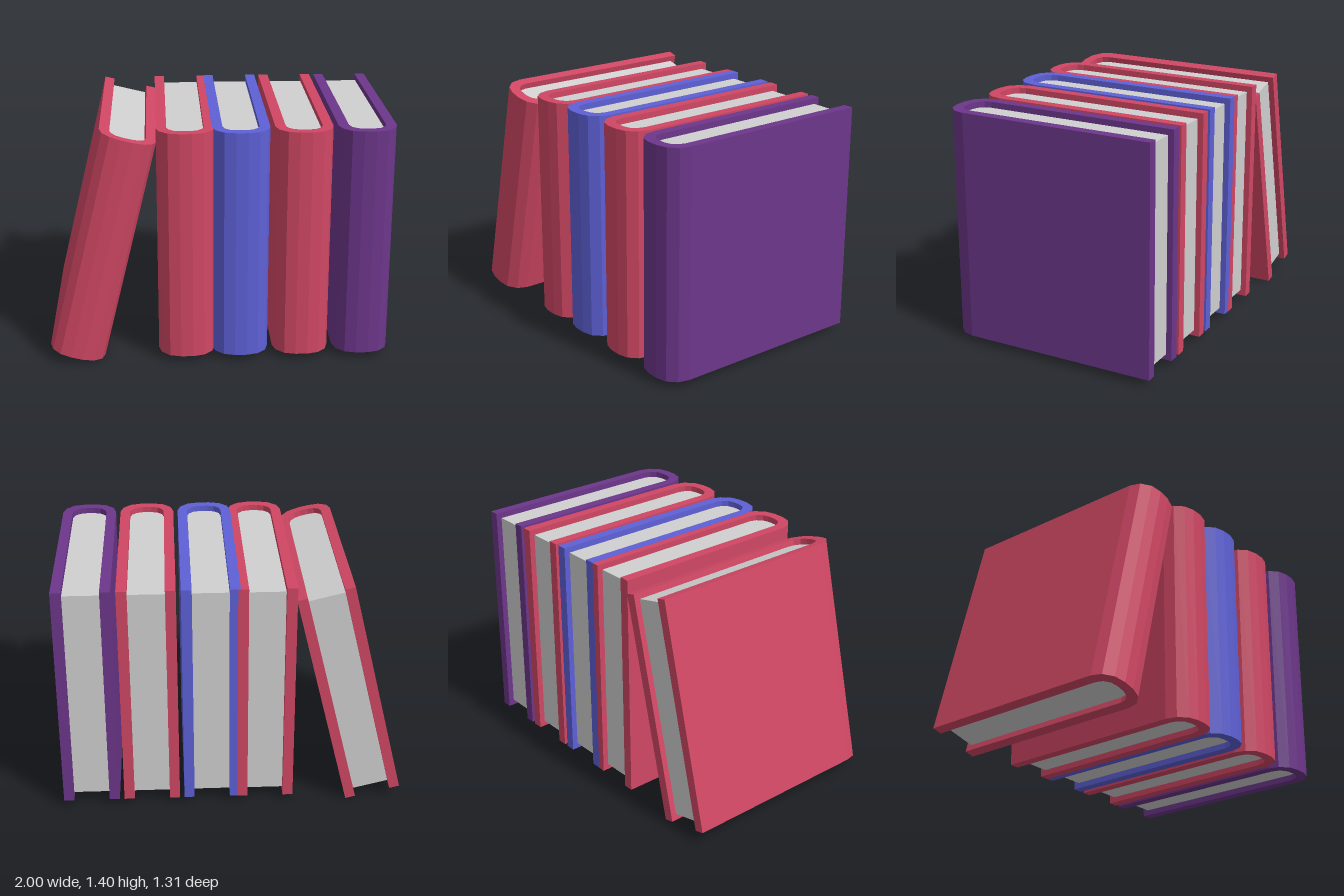
import * as THREE from 'three';

const W = 0.33, H = 1.36, BACK = -0.655, FRONT = 0.655;
const COVER = 0.06, INSET = 0.035;

// Corner points of a rounded front edge, running from the right side to the left side
function roundedFront(halfW, front, r, segs = 3) {
  const pts = [];
  for (let i = 0; i <= segs; i++) {
    const a = (i / segs) * Math.PI / 2;
    pts.push(new THREE.Vector2(halfW - r + r * Math.cos(a), front - r + r * Math.sin(a)));
  }
  return pts.concat(pts.map(p => new THREE.Vector2(-p.x, p.y)).reverse());
}

// Extrude an x/z outline upwards from y0 to y1
function upright(points, y0, y1) {
  const g = new THREE.ExtrudeGeometry(new THREE.Shape(points), { depth: y1 - y0, bevelEnabled: false });
  g.rotateX(Math.PI / 2);
  g.translate(0, y1, 0);
  return g;
}

export function createModel() {
  const mat = (name, color) => new THREE.MeshStandardMaterial({ name, color });
  const red = mat('red cover', 0xd04764);
  const blue = mat('blue cover', 0x5e60d6);
  const purple = mat('purple cover', 0x6c368a);
  const paper = mat('paper', 0xd0d0d0);

  // U-shaped cover wrapped round the spine
  const half = W / 2, inner = half - COVER;
  const outerFront = roundedFront(half, FRONT, 0.13);
  const innerFront = roundedFront(inner, FRONT - COVER, 0.08);
  const v = (x, z) => new THREE.Vector2(x, z);
  const coverGeo = upright([
    v(half, BACK), ...outerFront, v(-half, BACK),
    v(-inner, BACK), ...innerFront.slice().reverse(), v(inner, BACK),
  ], 0, H);

  // Page block, set in from the cover edges
  const pagesGeo = upright(
    [v(inner, BACK + INSET), ...innerFront, v(-inner, BACK + INSET)], INSET, H - INSET);

  const books = [
    { name: 'leaningRedBook', x: -0.84, y: 0.04, tilt: -0.24, material: red },
    { name: 'leftRedBook', x: -0.195, y: 0.04, tilt: 0, material: red },
    { name: 'blueBook', x: 0.12, y: 0.041, tilt: 0, material: blue },
    { name: 'rightRedBook', x: 0.477, y: 0.04, tilt: 0, material: red },
    { name: 'purpleBook', x: 0.835, y: 0.04, tilt: 0, material: purple },
  ];

  const model = new THREE.Group();
  model.name = 'bookRow';
  for (const b of books) {
    const book = new THREE.Group();
    book.name = b.name;
    const cover = new THREE.Mesh(coverGeo, b.material);
    cover.name = 'cover';
    const pages = new THREE.Mesh(pagesGeo, paper);
    pages.name = 'pages';
    book.add(cover, pages);
    book.position.set(b.x, b.y, 0);
    book.rotation.z = b.tilt;
    model.add(book);
  }
  return model;
}
